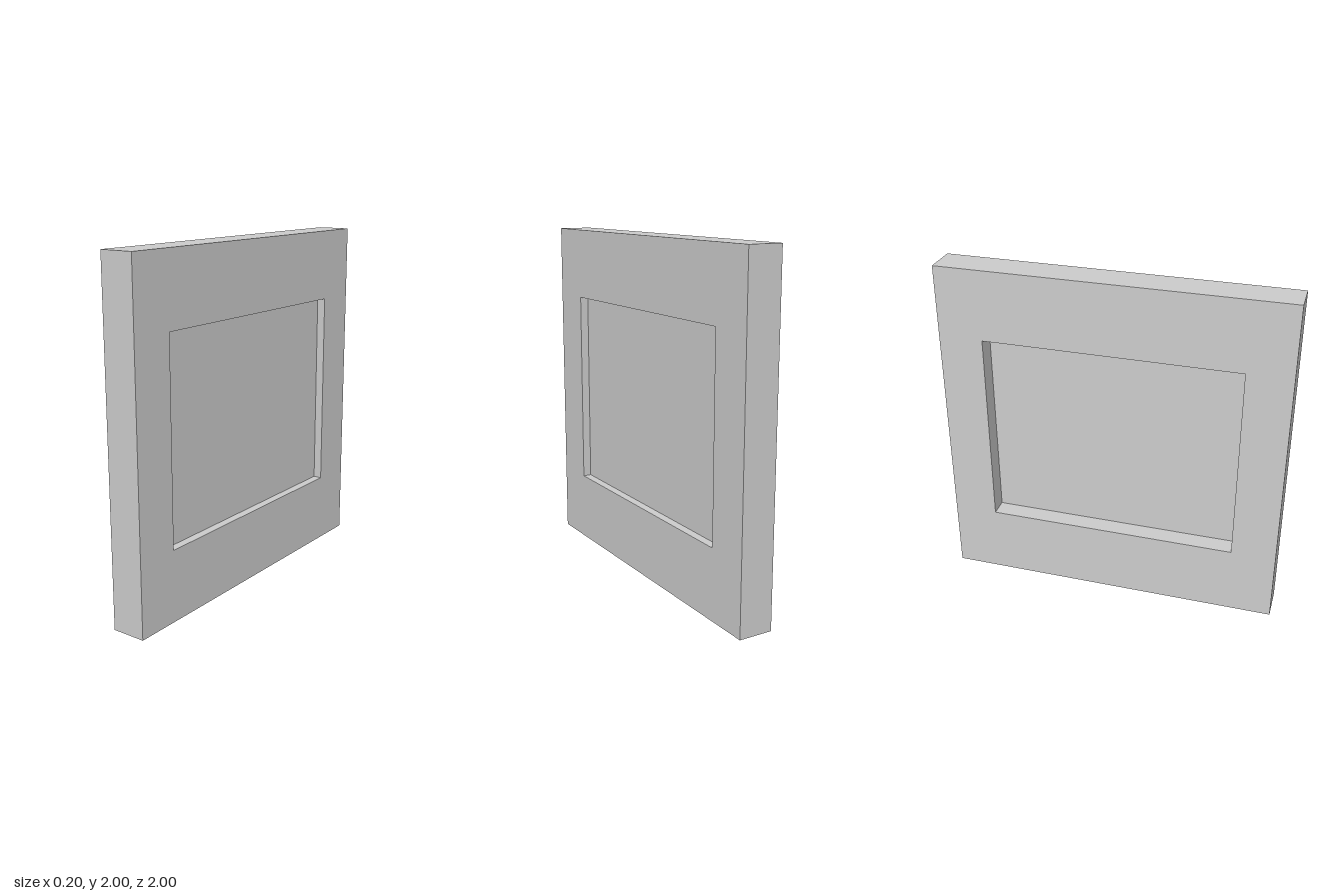
import * as THREE from 'three';

const OPEN = { w: 1.48, y0: 0.415, y1: 1.584 };
const REBATE = 0.02; // how far the pane is let into the wall

const material = new THREE.MeshStandardMaterial({ color: 0xcccccc, flatShading: true });

function rectangle(target, w, y0, y1) {
  target.moveTo(-w / 2, y0);
  target.lineTo(w / 2, y0);
  target.lineTo(w / 2, y1);
  target.lineTo(-w / 2, y1);
  target.closePath();
  return target;
}

export function createModel() {
  const group = new THREE.Group();
  group.name = 'windowWall';

  // Square wall with a rectangular opening, 0.2 thick along x
  const shape = rectangle(new THREE.Shape(), 2, 0, 2);
  shape.holes.push(rectangle(new THREE.Path(), OPEN.w, OPEN.y0, OPEN.y1));
  const wallGeometry = new THREE.ExtrudeGeometry(shape, { depth: 0.2, bevelEnabled: false });
  wallGeometry.translate(0, 0, -0.1).rotateY(Math.PI / 2);
  const wall = new THREE.Mesh(wallGeometry, material);
  wall.name = 'wall';
  group.add(wall);

  // Solid window pane, set nearer the +x side and let into the jambs
  const height = OPEN.y1 - OPEN.y0 + 2 * REBATE;
  const pane = new THREE.Mesh(new THREE.BoxGeometry(0.04, height, OPEN.w + 2 * REBATE), material);
  pane.position.set(0.03, (OPEN.y0 + OPEN.y1) / 2, 0);
  pane.name = 'windowPane';
  group.add(pane);

  return group;
}
